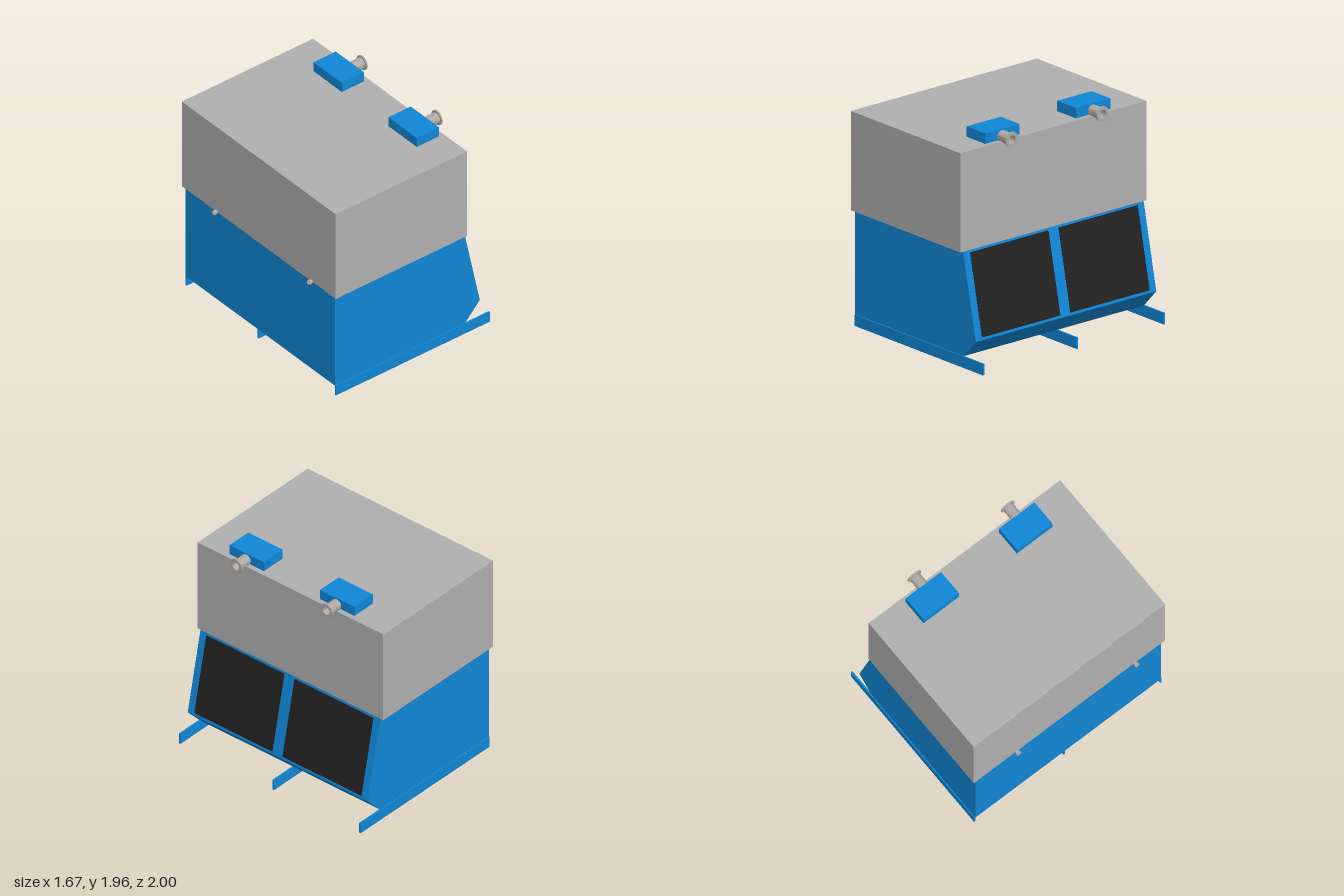
import * as THREE from 'three';
import { toCreasedNormals } from 'three/addons/utils/BufferGeometryUtils.js';

export function createModel() {
  const model = new THREE.Group();
  const mat = (name, color) => {
    const m = new THREE.MeshStandardMaterial({ color });
    m.name = name;
    return m;
  };
  const blue = mat('blue paint', 0x1087d6);
  const grey = mat('grey casing', 0xb0b0b0);
  const steel = mat('pipe steel', 0xb0aaa6);
  const black = mat('black grille', 0x222222);

  const add = (name, geometry, material, x = 0, y = 0, z = 0) => {
    const mesh = new THREE.Mesh(geometry, material);
    mesh.name = name;
    mesh.position.set(x, y, z);
    model.add(mesh);
    return mesh;
  };
  // Box given by its minimum and maximum corners
  const box = (name, material, [x0, y0, z0], [x1, y1, z1]) =>
    add(name, new THREE.BoxGeometry(x1 - x0, y1 - y0, z1 - z0), material,
      (x0 + x1) / 2, (y0 + y1) / 2, (z0 + z1) / 2);
  // Turned part whose axis points along x; points are [radius, distance]
  const turned = (name, points, x, y, z, angle) => {
    const lathe = new THREE.LatheGeometry(points.map(p => new THREE.Vector2(...p)), 32);
    add(name, toCreasedNormals(lathe, 0.6), steel, x, y, z).rotation.z = angle;
  };

  // Upper casing
  box('upperCasing', grey, [-0.805, 1, -1], [0.575, 1.86, 1]);

  // Lower housing, with a sloping intake side
  const profile = new THREE.Shape([
    [-0.79, 0.097], [0.58, 0.097], [0.735, 0.26], [0.575, 1], [-0.79, 1],
  ].map(p => new THREE.Vector2(...p)));
  add('lowerHousing', new THREE.ExtrudeGeometry(profile, { depth: 1.94, bevelEnabled: false }),
    blue, 0, 0, -0.97);

  // Intake grilles lying on the slope
  const tilt = Math.atan2(0.16, 0.74);
  for (const [z0, z1] of [[0.06, 0.9], [-0.9, -0.05]]) {
    const grille = add('intakeGrille', new THREE.BoxGeometry(0.008, 0.713, z1 - z0),
      black, 0.655, 0.632, (z0 + z1) / 2);
    grille.rotation.z = tilt;
  }

  // Base rails
  for (const z of [0.972, -0.036, -0.972])
    box('baseRail', blue, [-0.785, 0, z - 0.008], [0.835, 0.098, z + 0.008]);

  // Roof boxes, each with a flanged hollow pipe
  const pipe = [[0, 0.01], [0.037, 0.01], [0.037, 0.13], [0.066, 0.13],
    [0.066, 0.116], [0.049, 0.116], [0.049, 0]].reverse();
  for (const [z, pipeZ] of [[0.51, 0.515], [-0.465, -0.46]]) {
    box('roofBox', blue, [0.295, 1.86, z - 0.185], [0.53, 1.95, z + 0.185]);
    turned('roofPipe', pipe, 0.53, 1.89, pipeZ, -Math.PI / 2);
  }

  // Small drain stubs on the opposite side
  const stub = [[0.018, 0], [0.018, 0.03], [0.022, 0.03], [0.022, 0.05],
    [0.012, 0.05], [0.012, 0.03], [0, 0.03]];
  for (const z of [0.685, -0.55])
    turned('drainStub', stub, -0.788, 1, z, Math.PI / 2);

  return model;
}
